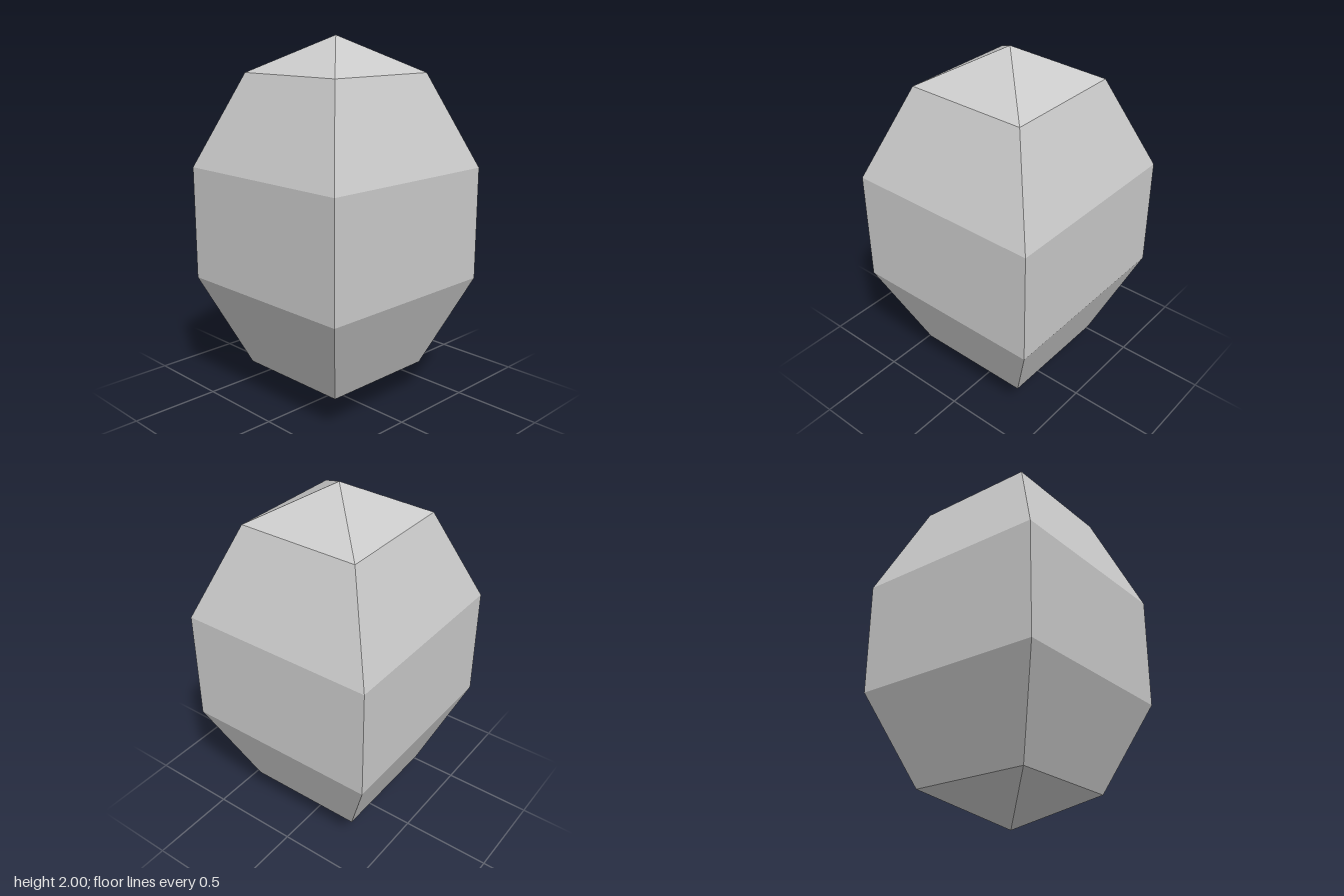
import * as THREE from 'three';

export function createModel() {
  const group = new THREE.Group();

  // Four-sided, five-band faceted gem, turned so its flat sides face the axes
  const geometry = new THREE.SphereGeometry(1, 4, 5);
  geometry.rotateY(Math.PI / 4);
  geometry.scale(0.804, 1, 0.804);
  geometry.translate(0, 1, 0);
  geometry.computeVertexNormals();

  const gem = new THREE.Mesh(
    geometry,
    new THREE.MeshStandardMaterial({ color: 0xcccccc, flatShading: true })
  );
  gem.name = 'gem';
  group.add(gem);
  return group;
}
